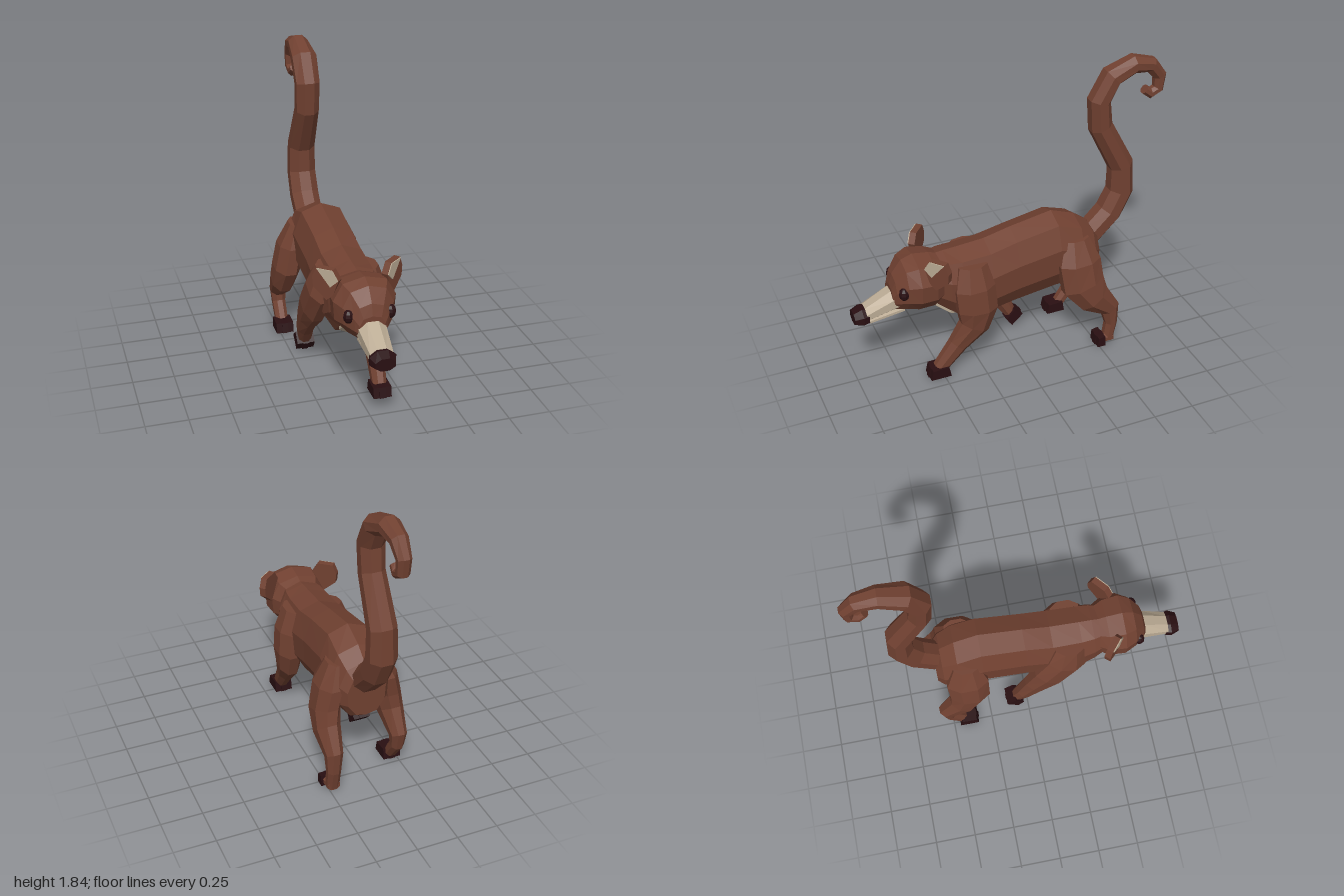
import * as THREE from 'three';

const mat = (name, color) => {
  const m = new THREE.MeshStandardMaterial({ color });
  m.name = name;
  return m;
};

// Split faces so every facet is flat
function facet(geo) {
  const g = geo.index ? geo.toNonIndexed() : geo;
  g.computeVertexNormals();
  return g;
}

// Cross-sections as [x across, n up], counter-clockwise
const ROUND = Array.from({ length: 8 }, (_, i) => {
  const a = (i + 0.5) * Math.PI / 4;
  return [Math.cos(a) * 1.06, Math.sin(a) * 1.06];
});
const TRUNK = [[1, 0.25], [0.7, 0.82], [0, 1], [-0.7, 0.82], [-1, 0.25],
  [-0.95, -0.4], [-0.55, -0.9], [0, -1], [0.55, -0.9], [0.95, -0.4]];

// Skin through rings [x, y, z, half width, half depth]; rings follow the path or stay upright
function loft(rings, profile = ROUND, upright = false) {
  const n = profile.length, last = rings.length - 1, pos = [], idx = [];
  rings.forEach(([x, y, z, rx, rn], i) => {
    const a = rings[Math.max(i - 1, 0)], b = rings[Math.min(i + 1, last)];
    let dy = b[1] - a[1], dz = b[2] - a[2];
    if (upright) { dy = 0; dz = 1; }
    const len = Math.hypot(dy, dz);
    for (const [u, v] of profile) {
      pos.push(x + u * rx, y + v * rn * dz / len, z - v * rn * dy / len);
    }
  });
  for (let i = 0; i < last; i++) {
    for (let k = 0; k < n; k++) {
      const a = i * n + k, b = i * n + (k + 1) % n;
      idx.push(a, b, b + n, a, b + n, a + n);
    }
  }
  for (let k = 1; k < n - 1; k++) {
    idx.push(0, k + 1, k, last * n, last * n + k, last * n + k + 1);
  }
  const g = new THREE.BufferGeometry();
  g.setAttribute('position', new THREE.Float32BufferAttribute(pos, 3));
  g.setIndex(idx);
  return facet(g);
}

// Upright skin along z from [z, top, bottom, half width]
const alongZ = (rows, profile) =>
  loft(rows.map(([z, t, b, w]) => [0, (t + b) / 2, z, w, (t - b) / 2]), profile, true);

export function createModel() {
  const fur = mat('brown fur', 0x714131);
  const cream = mat('cream', 0xbbab94);
  const dark = mat('dark skin', 0x290f12);
  const root = new THREE.Group();
  root.name = 'coati';
  const add = (name, geo, material, parent = root) => {
    const m = new THREE.Mesh(geo, material);
    m.name = name;
    parent.add(m);
    return m;
  };

  // Trunk
  add('body', alongZ([
    [-0.55, 0.73, 0.45, 0.12], [-0.51, 0.79, 0.42, 0.155], [-0.42, 0.855, 0.41, 0.18],
    [-0.27, 0.91, 0.40, 0.175], [0, 0.86, 0.36, 0.17], [0.17, 0.82, 0.33, 0.175],
    [0.35, 0.805, 0.34, 0.17], [0.43, 0.80, 0.41, 0.16], [0.52, 0.79, 0.48, 0.13],
  ], TRUNK), fur);
  add('throatPatch', alongZ([
    [0.35, 0.40, 0.335, 0.05], [0.42, 0.46, 0.375, 0.09], [0.51, 0.53, 0.45, 0.08],
  ]), cream);

  // Head
  add('head', alongZ([
    [0.46, 0.79, 0.50, 0.14], [0.52, 0.81, 0.475, 0.175], [0.62, 0.825, 0.475, 0.185],
    [0.69, 0.80, 0.485, 0.15], [0.75, 0.72, 0.49, 0.10], [0.77, 0.65, 0.51, 0.075],
  ], TRUNK), fur);
  add('snout', alongZ([[0.70, 0.645, 0.49, 0.085], [0.77, 0.62, 0.48, 0.082], [0.93, 0.535, 0.445, 0.068]]), cream);
  add('lowerJaw', alongZ([[0.70, 0.51, 0.47, 0.07], [0.91, 0.46, 0.425, 0.05]]), cream);
  add('nose', alongZ([[0.915, 0.53, 0.425, 0.07], [0.95, 0.535, 0.42, 0.078], [1, 0.51, 0.435, 0.06]]), dark);

  // Eyes and ears
  const earOutline = [[0.05, 0.86], [-0.03, 0.86], [-0.06, 0.80], [-0.03, 0.70], [0, 0.67], [0.065, 0.74], [0.07, 0.80]];
  const earPatch = [[0.048, 0.858], [-0.03, 0.858], [-0.058, 0.80], [-0.02, 0.755]];
  for (const s of [1, -1]) {
    const side = s > 0 ? 'left' : 'right';
    const eye = facet(new THREE.SphereGeometry(1, 8, 6));
    eye.scale(0.032, 0.042, 0.032);
    eye.translate(s * 0.122, 0.64, 0.715);
    add(side + 'Eye', facet(eye), dark);
    const plate = (pts, depth, z) => {
      const shape = new THREE.Shape(pts.map(([x, y]) => new THREE.Vector2(s * x * 1.25, y)));
      const g = new THREE.ExtrudeGeometry(shape, { depth, bevelEnabled: false });
      g.translate(0, 0, z);
      g.rotateY(s * 0.7);
      g.translate(s * 0.2, 0, 0.545);
      return facet(g);
    };
    add(side + 'Ear', plate(earOutline, 0.04, -0.04), fur);
    add(side + 'InnerEar', plate(earPatch, 0.006, 0), cream);
  }

  // Tail: rises in an S and curls at the tip
  add('tail', loft([
    [0, 0.66, -0.45, 0.075, 0.075], [0, 0.70, -0.54, 0.085, 0.08], [0, 0.82, -0.66, 0.088, 0.08],
    [0, 0.96, -0.73, 0.086, 0.08], [0, 1.14, -0.725, 0.082, 0.075], [0, 1.42, -0.58, 0.072, 0.07],
    [0, 1.59, -0.565, 0.075, 0.066], [0, 1.73, -0.64, 0.078, 0.062], [0, 1.785, -0.78, 0.062, 0.056],
    [0, 1.76, -0.895, 0.05, 0.046], [0, 1.68, -0.957, 0.04, 0.04], [0, 1.60, -0.95, 0.038, 0.034],
    [0, 1.575, -0.90, 0.036, 0.033], [0, 1.605, -0.862, 0.03, 0.028],
  ]), fur);

  // Three wedge-shaped toes
  const toes = (name, x, y, z, length, tilt = 0) => {
    const paw = new THREE.Group();
    paw.name = name;
    for (const k of [-1, 0, 1]) {
      const g = new THREE.BoxGeometry(0.038, 0.07, length + (k ? 0 : 0.012));
      const p = g.attributes.position;
      for (let i = 0; i < p.count; i++) {
        if (p.getY(i) > 0) {
          p.setZ(i, p.getZ(i) * 0.78);
          if (p.getZ(i) > 0) p.setY(i, 0.028);
        }
      }
      g.translate(k * 0.036, 0, 0);
      add('toe', facet(g), dark, paw);
    }
    paw.position.set(x, y, z);
    paw.rotation.x = tilt;
    root.add(paw);
  };

  // Front legs: left reaching forward, right pushing off
  add('leftFrontLeg', loft([
    [0.12, 0.74, 0.29, 0.06, 0.09], [0.15, 0.60, 0.29, 0.08, 0.125], [0.165, 0.45, 0.28, 0.078, 0.125],
    [0.16, 0.33, 0.30, 0.068, 0.095], [0.14, 0.20, 0.40, 0.052, 0.062], [0.13, 0.05, 0.515, 0.042, 0.046],
  ]), fur);
  toes('leftFrontPaw', 0.13, 0.037, 0.525, 0.13);
  add('rightFrontLeg', loft([
    [-0.12, 0.74, 0.27, 0.06, 0.09], [-0.15, 0.60, 0.25, 0.08, 0.13], [-0.17, 0.45, 0.15, 0.072, 0.125],
    [-0.175, 0.33, 0.06, 0.06, 0.09], [-0.175, 0.20, -0.02, 0.05, 0.055], [-0.165, 0.10, -0.07, 0.04, 0.036],
  ]), fur);
  toes('rightFrontPaw', -0.165, 0.09, -0.078, 0.10, 0.75);

  // Hind legs: left trailing, right stepping forward
  add('leftHindLeg', loft([
    [0.13, 0.76, -0.38, 0.05, 0.08], [0.17, 0.62, -0.385, 0.08, 0.135], [0.20, 0.47, -0.40, 0.082, 0.135],
    [0.215, 0.36, -0.47, 0.075, 0.105], [0.22, 0.25, -0.585, 0.052, 0.062], [0.225, 0.14, -0.595, 0.042, 0.04],
    [0.225, 0.02, -0.575, 0.04, 0.035],
  ]), fur);
  add('leftHindFoot', loft([[0.225, 0.033, -0.605, 0.038, 0.03], [0.225, 0.035, -0.515, 0.045, 0.033]]), fur);
  toes('leftHindPaw', 0.225, 0.036, -0.515, 0.055);
  add('rightHindLeg', loft([
    [-0.13, 0.76, -0.37, 0.05, 0.08], [-0.17, 0.62, -0.375, 0.08, 0.13], [-0.20, 0.47, -0.37, 0.082, 0.125],
    [-0.215, 0.35, -0.42, 0.072, 0.095], [-0.22, 0.23, -0.53, 0.05, 0.055], [-0.22, 0.15, -0.515, 0.042, 0.042],
    [-0.22, 0.04, -0.435, 0.04, 0.036],
  ]), fur);
  toes('rightHindPaw', -0.22, 0.037, -0.40, 0.12);

  return root;
}
